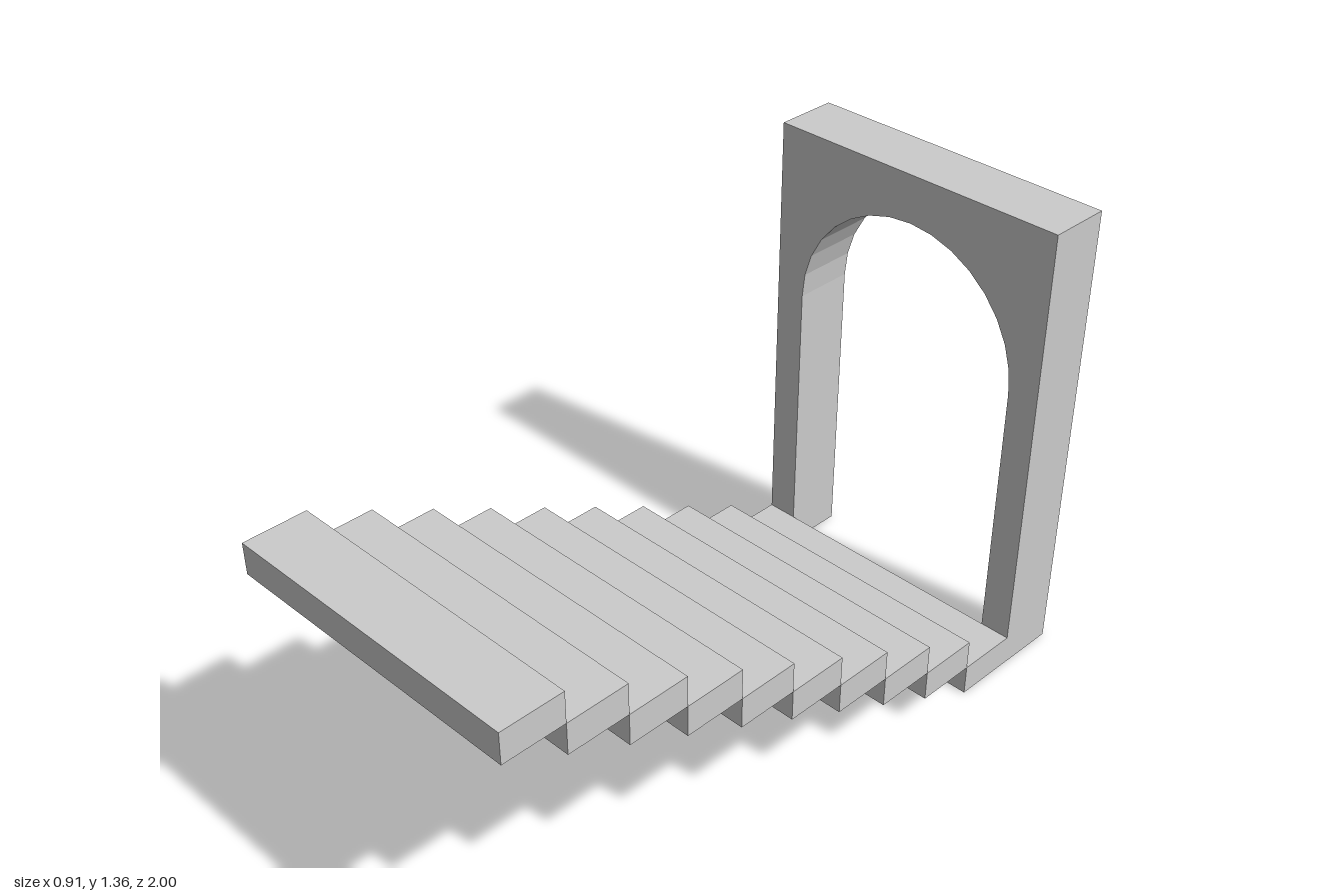
import * as THREE from 'three';

const U = 2 / 11; // depth of one tread
const WIDTH = 5 * U;
const STEP_HEIGHT = U / 2;
const STEPS = 10;

const material = new THREE.MeshStandardMaterial({ color: 0xcccccc, flatShading: true });

// Upright slab with a round-topped doorway open to the ground
function createArchway() {
  const half = WIDTH / 2, radius = 2 * U, spring = 4.75 * U, top = 7.5 * U;
  const shape = new THREE.Shape();
  shape.moveTo(-half, 0);
  shape.lineTo(-radius, 0);
  shape.lineTo(-radius, spring);
  shape.absarc(0, spring, radius, Math.PI, 0, true);
  shape.lineTo(radius, 0);
  shape.lineTo(half, 0);
  shape.lineTo(half, top);
  shape.lineTo(-half, top);
  shape.closePath();
  const geometry = new THREE.ExtrudeGeometry(shape, { depth: U, bevelEnabled: false, curveSegments: 8 });
  const arch = new THREE.Mesh(geometry, material);
  arch.name = 'archway';
  arch.position.z = -1;
  return arch;
}

// Floating steps climbing away from the doorway
function createStairs() {
  const stairs = new THREE.Group();
  stairs.name = 'stairs';
  const geometry = new THREE.BoxGeometry(WIDTH, STEP_HEIGHT, U);
  for (let i = 0; i < STEPS; i++) {
    const step = new THREE.Mesh(geometry, material);
    step.name = `step${i + 1}`;
    step.position.set(0, (i + 0.5) * STEP_HEIGHT, -1 + (i + 1.5) * U);
    stairs.add(step);
  }
  return stairs;
}

export function createModel() {
  const model = new THREE.Group();
  model.name = 'archwayWithStairs';
  model.add(createArchway(), createStairs());
  return model;
}
